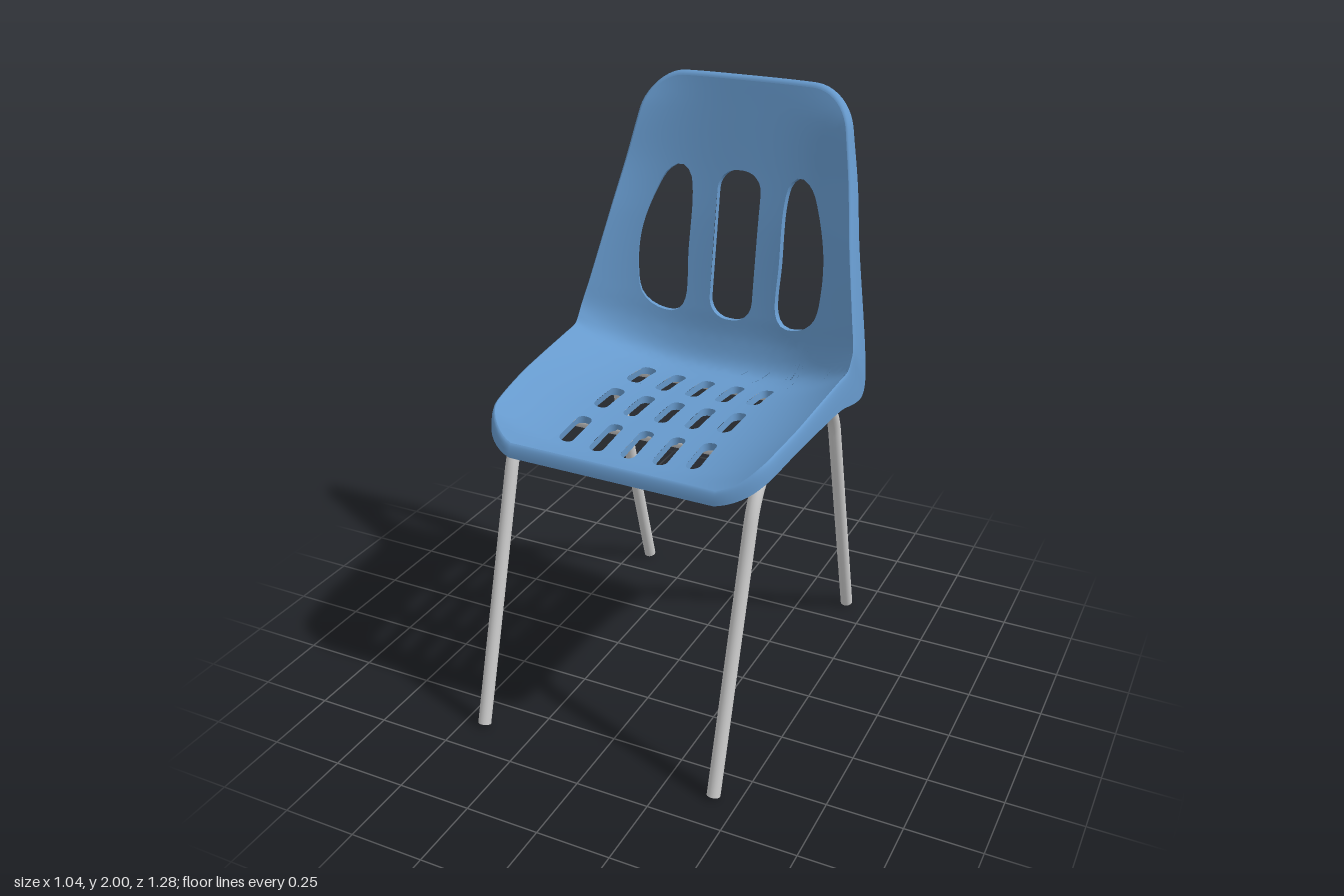
import * as THREE from 'three';
import { mergeVertices } from 'three/addons/utils/BufferGeometryUtils.js';

// Shell stations from front lip to top edge:
// s, centre y, centre z, half width, rim y, rim z, flange drop y, flange drop z
const KEYS = [
  [0.00, 0.970, 0.470, 0.455, 1.040, 0.470, -0.040, 0],
  [0.07, 0.992, 0.400, 0.468, 1.078, 0.400, -0.065, 0],
  [0.27, 1.015, 0.200, 0.490, 1.108, 0.200, -0.070, 0],
  [0.42, 1.020, 0.050, 0.497, 1.123, 0.050, -0.085, 0],
  [0.62, 1.010, -0.150, 0.503, 1.138, -0.130, -0.110, -0.02],
  [0.75, 1.000, -0.280, 0.507, 1.146, -0.210, -0.145, -0.07],
  [0.82, 1.020, -0.350, 0.508, 1.170, -0.235, -0.170, -0.12],
  [0.91, 1.100, -0.390, 0.506, 1.210, -0.260, -0.150, -0.125],
  [1.01, 1.200, -0.407, 0.490, 1.280, -0.285, -0.090, -0.115],
  [1.31, 1.500, -0.450, 0.440, 1.520, -0.360, -0.020, -0.075],
  [1.51, 1.700, -0.485, 0.405, 1.700, -0.425, -0.010, -0.06],
  [1.71, 1.888, -0.515, 0.368, 1.880, -0.475, -0.005, -0.04],
  [1.81, 1.985, -0.530, 0.345, 1.980, -0.520, 0, -0.015],
];
const END = 1.81;

// Smooth interpolation of the stations
function station(s) {
  s = THREE.MathUtils.clamp(s, 0, END);
  let i = 0;
  while (i < KEYS.length - 2 && s > KEYS[i + 1][0]) i++;
  const a = KEYS[i], b = KEYS[i + 1];
  const p = KEYS[Math.max(i - 1, 0)], n = KEYS[Math.min(i + 2, KEYS.length - 1)];
  const h = b[0] - a[0], t = (s - a[0]) / h, t2 = t * t, t3 = t2 * t;
  return a.map((v, k) => {
    const m0 = (b[k] - p[k]) / (b[0] - p[0]), m1 = (n[k] - a[k]) / (n[0] - a[0]);
    return (2 * t3 - 3 * t2 + 1) * v + (t3 - 2 * t2 + t) * h * m0
      + (3 * t2 - 2 * t3) * b[k] + (t3 - t2) * h * m1;
  });
}

// Flat sheet coordinates (x, s) to the dished seat and back
function surface(x, s) {
  const [, cy, cz, w, ry, rz] = station(s);
  const f = Math.abs(x / w) ** 3;
  return new THREE.Vector3(x, cy + (ry - cy) * f, cz + (rz - cz) * f);
}

function surfaceNormal(x, s) {
  const e = 0.004;
  const dx = surface(x + e, s).sub(surface(x - e, s));
  const ds = surface(x, Math.min(s + e, END)).sub(surface(x, Math.max(s - e, 0)));
  return dx.cross(ds).normalize();
}

// Sheet outline, counter-clockwise, with rounded corners
function outline() {
  const right = [], r = 0.11;
  for (let i = 0; i <= 80; i++) {
    const s = END * (0.5 - 0.5 * Math.cos(Math.PI * i / 80));
    const d = Math.max(0, r - Math.min(s, END - s)) / r;
    right.push(new THREE.Vector2(station(s)[3] - r * (1 - Math.sqrt(1 - d * d)), s));
  }
  const left = right.map(p => new THREE.Vector2(-p.x, p.y)).reverse();
  return new THREE.Shape([...right, ...left]).getSpacedPoints(240).slice(0, -1);
}

// Round-cornered slot, clockwise
function slot(x, s0, s1, w, r) {
  const pts = [];
  const corners = [[1, s0 + r, -1], [-1, s0 + r, -1], [-1, s1 - r, 1], [1, s1 - r, 1]];
  corners.forEach(([sx, cs], c) => {
    for (let i = 0; i <= 6; i++) {
      const a = -(c + i / 6) * Math.PI / 2;
      pts.push(new THREE.Vector2(x + sx * (w / 2 - r) + r * Math.cos(a), cs + r * Math.sin(a)));
    }
  });
  return pts.filter((p, i) => p.distanceTo(pts[(i + 1) % pts.length]) > 1e-4);
}

// Outer back slot with one bowed edge
function bowedSlot(side) {
  const pts = [[0.17, 1.40], [0.17, 1.60], [0.185, 1.665], [0.22, 1.692], [0.265, 1.665], [0.305, 1.58],
    [0.338, 1.45], [0.343, 1.32], [0.325, 1.215], [0.28, 1.178], [0.205, 1.175], [0.173, 1.215]]
    .map(([x, y]) => new THREE.Vector3(side * x, y - 0.19, 0));
  const ring = new THREE.CatmullRomCurve3(pts, true).getSpacedPoints(48).slice(0, -1)
    .map(p => new THREE.Vector2(p.x, p.y));
  return side > 0 ? ring : ring.reverse();
}

// Triangulated sheet, long edges halved until it follows the curvature
function sheetGeometry(contour, holes) {
  const all = [contour, ...holes].flat(), pos = [], nor = [];
  const emit = p => {
    pos.push(...surface(p.x, p.y).toArray());
    nor.push(...surfaceNormal(p.x, p.y).toArray());
  };
  const split = (a, b, c) => {
    const ab = a.distanceTo(b), bc = b.distanceTo(c), ca = c.distanceTo(a);
    const longest = Math.max(ab, bc, ca);
    if (longest < 0.045) return [a, b, c].forEach(emit);
    if (longest === bc) [a, b, c] = [b, c, a];
    else if (longest === ca) [a, b, c] = [c, a, b];
    const m = a.clone().add(b).multiplyScalar(0.5);
    split(a, m, c);
    split(m, b, c);
  };
  for (const t of THREE.ShapeUtils.triangulateShape(contour, holes)) split(...t.map(i => all[i]));
  const g = new THREE.BufferGeometry();
  g.setAttribute('position', new THREE.Float32BufferAttribute(pos, 3));
  g.setAttribute('normal', new THREE.Float32BufferAttribute(nor, 3));
  return mergeVertices(g);
}

// Closed strip along a ring of sheet points; place(point, index, t) gives each position
function stripGeometry(ring, steps, place) {
  const pos = [], idx = [], n = ring.length;
  for (let j = 0; j <= steps; j++) ring.forEach((p, i) => pos.push(...place(p, i, j / steps).toArray()));
  for (let j = 0; j < steps; j++) {
    for (let i = 0; i < n; i++) {
      const a = j * n + i, b = j * n + (i + 1) % n;
      idx.push(a, a + n, b, b, a + n, b + n);
    }
  }
  const g = new THREE.BufferGeometry();
  g.setAttribute('position', new THREE.Float32BufferAttribute(pos, 3));
  g.setIndex(idx);
  g.computeVertexNormals();
  return g;
}

export function createModel() {
  const model = new THREE.Group();
  const plastic = new THREE.MeshStandardMaterial({ color: 0x6699cc, side: THREE.DoubleSide });
  const steel = new THREE.MeshStandardMaterial({ color: 0xcccccc });
  const add = (name, geometry, material) => {
    const mesh = new THREE.Mesh(geometry, material);
    mesh.name = name;
    model.add(mesh);
    return mesh;
  };

  // Seat slots in three rows of five, then the three back slots
  const contour = outline(), holes = [];
  for (const [z0, z1] of [[-0.25, -0.08], [-0.01, 0.155], [0.22, 0.385]]) {
    for (let c = -2; c <= 2; c++) {
      const trim = Math.abs(c) === 2 ? 0.005 : 0;
      holes.push(slot(c * 0.111, 0.47 - z1 + trim, 0.47 - z0 - trim, 0.05, 0.022));
    }
  }
  holes.push(slot(0, 0.985, 1.5, 0.16, 0.07), bowedSlot(1), bowedSlot(-1));
  add('shell', sheetGeometry(contour, holes), plastic);

  // Turned-down flange around the shell
  const n = contour.length;
  add('shellFlange', stripGeometry(contour, 6, (p, i, t) => {
    const along = contour[(i + 1) % n].clone().sub(contour[(i + n - 1) % n]).normalize();
    const edge = surface(p.x, p.y), e = 0.003;
    const out = edge.clone().sub(surface(p.x - along.y * e, p.y + along.x * e)).normalize();
    const k = station(p.y), a = t * Math.PI / 2;
    return edge.addScaledVector(out, 0.015 * Math.sin(a))
      .add(new THREE.Vector3(0, k[6], k[7]).multiplyScalar(1 - Math.cos(a)));
  }), plastic);

  // Lips behind every slot
  holes.forEach((ring, h) => {
    const depth = 0.026;
    add(h < 15 ? 'seatSlotLip' : 'backSlotLip', stripGeometry(ring, 1, (p, i, t) =>
      surface(p.x, p.y).addScaledVector(surfaceNormal(p.x, p.y), -depth * t)), plastic);
  });

  // Bent tube leg frames, one per side
  const R = 0.022;
  for (const [name, x] of [['left', 0.418], ['right', -0.43]]) {
    const v = (z, y) => new THREE.Vector3(x, y, z);
    const path = new THREE.CurvePath();
    path.add(new THREE.LineCurve3(v(0.62, 0.006), v(0.37, 0.85)));
    path.add(new THREE.QuadraticBezierCurve3(v(0.37, 0.85), v(0.317, 1.03), v(0.14, 1.024)));
    path.add(new THREE.LineCurve3(v(0.14, 1.024), v(-0.17, 1.005)));
    path.add(new THREE.QuadraticBezierCurve3(v(-0.17, 1.005), v(-0.33, 0.995), v(-0.375, 0.84)));
    path.add(new THREE.LineCurve3(v(-0.375, 0.84), v(-0.62, 0.006)));
    add(name + 'LegFrame', new THREE.TubeGeometry(path, 120, R, 16), steel);
    // Closed foot ends
    for (const t of [0, 1]) {
      const cap = add(name + 'FootEnd', new THREE.CircleGeometry(R, 16), steel);
      cap.position.copy(path.getPoint(t));
      const dir = path.getTangent(t).multiplyScalar(t ? 1 : -1);
      cap.quaternion.setFromUnitVectors(new THREE.Vector3(0, 0, 1), dir);
    }
  }

  // Cross bars under the seat
  for (const [name, y, z] of [['frontCrossBar', 0.988, 0.2], ['rearCrossBar', 0.978, -0.275]]) {
    const bar = add(name, new THREE.CylinderGeometry(0.02, 0.02, 0.85, 16), steel);
    bar.rotation.z = Math.PI / 2;
    bar.position.set(-0.006, y, z);
  }
  return model;
}
